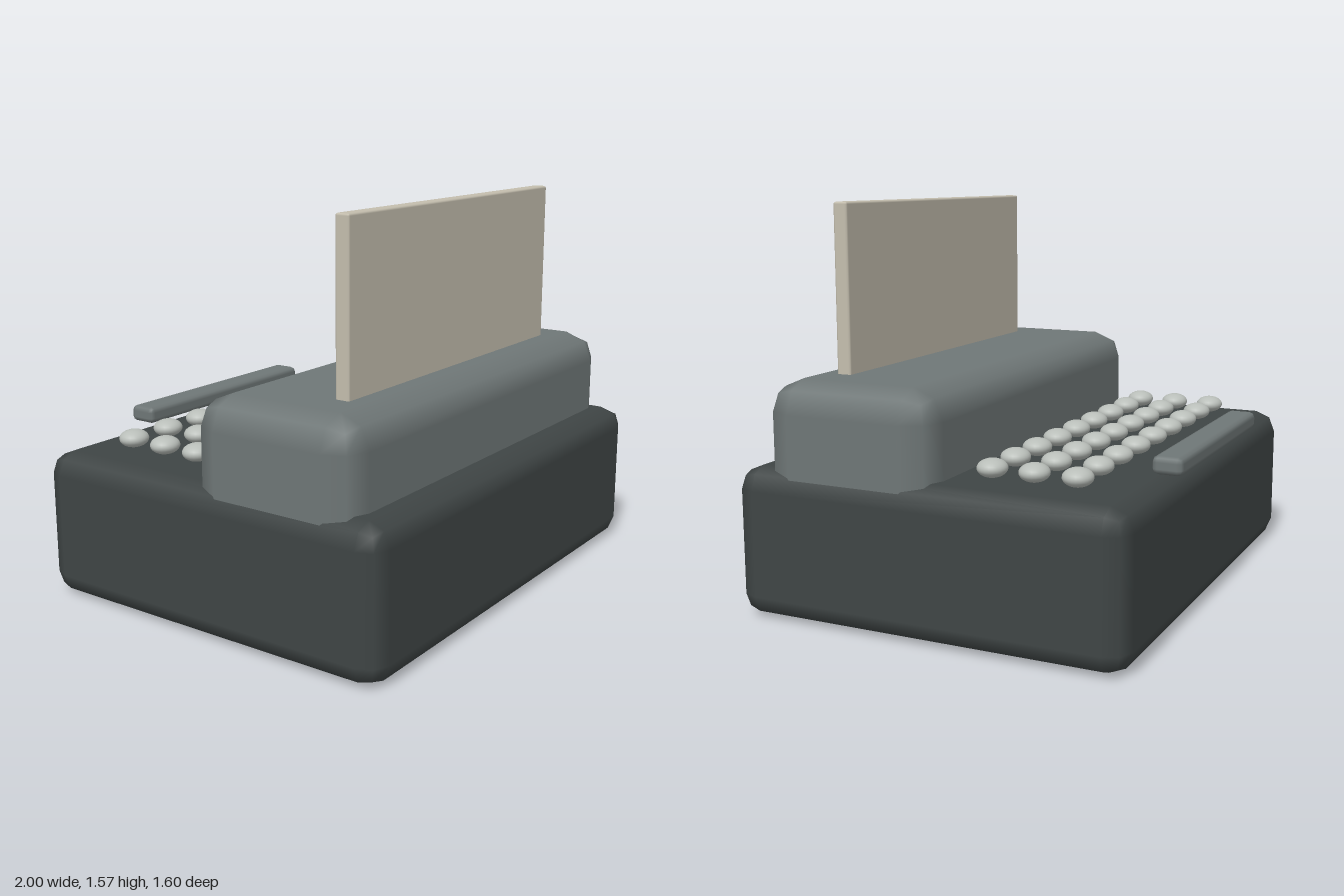
import * as THREE from 'three';
import { RoundedBoxGeometry } from 'three/addons/geometries/RoundedBoxGeometry.js';

const material = (color) => new THREE.MeshStandardMaterial({ color });

// Box with one-step rounded edges, given by its extents in y and z
function roundedBlock(name, width, [y0, y1], [z0, z1], radius, mat) {
  const geometry = new RoundedBoxGeometry(width, y1 - y0, z1 - z0, 1, radius);
  const mesh = new THREE.Mesh(geometry, mat);
  mesh.name = name;
  mesh.position.set(0, (y0 + y1) / 2, (z0 + z1) / 2);
  return mesh;
}

export function createModel() {
  const model = new THREE.Group();
  model.name = 'typewriter';

  const dark = material(0x3f4545);
  const grey = material(0x6f7777);
  const cream = material(0xc4beae);
  const pale = material(0xb9beb9);

  // Housing, carriage, sheet of paper and space bar
  model.add(
    roundedBlock('body', 2, [0, 0.585], [-0.778, 0.8], 0.087, dark),
    roundedBlock('carriage', 1.955, [0.42, 0.918], [-0.03, 0.678], 0.12, grey),
    roundedBlock('paper', 1.455, [0.7, 1.565], [0.44, 0.5], 0.009, cream),
    roundedBlock('spaceBar', 0.99, [0.595, 0.664], [-0.8, -0.68], 0.022, grey)
  );

  // Three rows of nine flattened round keys
  const keys = new THREE.Group();
  keys.name = 'keys';
  const keyGeometry = new THREE.SphereGeometry(1, 24, 16).scale(0.06, 0.035, 0.057);
  for (let row = 0; row < 3; row++) {
    for (let col = 0; col < 9; col++) {
      const key = new THREE.Mesh(keyGeometry, pale);
      key.name = `key${row + 1}_${col + 1}`;
      key.position.set((col - 4) * 0.1915, 0.63, -0.178 - row * 0.1665);
      keys.add(key);
    }
  }
  model.add(keys);

  return model;
}
